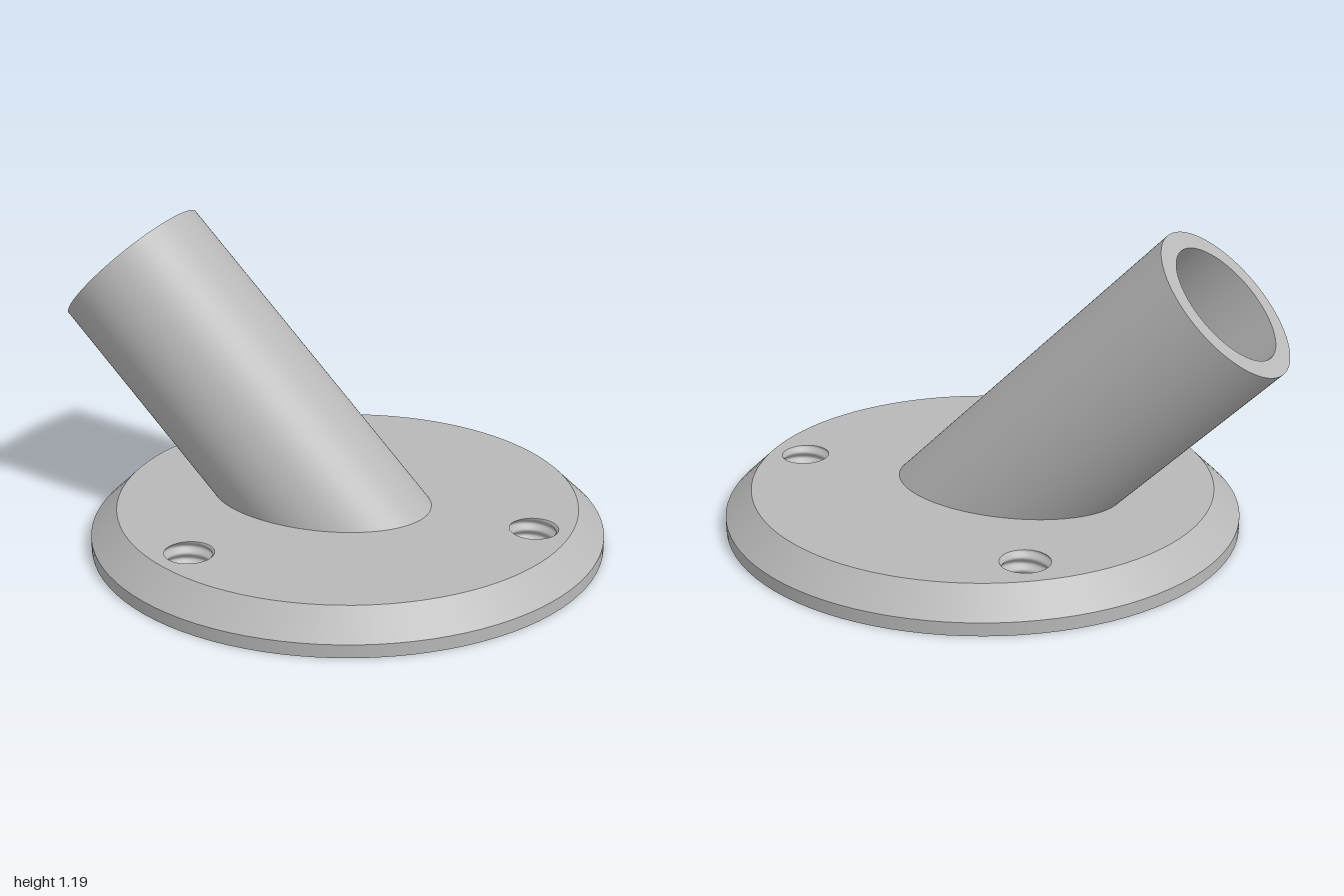
import * as THREE from 'three';

const CX = 0.02;               // plate centre in x
const TOP = 0.147;             // plate thickness
const PITCH = TOP / 3;         // thread pitch of the screw holes
const HOLE_SEGMENTS = 40;

// Helical thread: radius of a screw hole at an angle and height
function threadRadius(phi, y) {
  const t = y / PITCH - phi / (Math.PI * 2);
  const wave = Math.abs((t - Math.floor(t)) * 2 - 1);
  return 0.083 + 0.016 * THREE.MathUtils.clamp(wave * 1.4 - 0.2, 0, 1);
}

export function createModel() {
  const metal = new THREE.MeshStandardMaterial({ color: 0xb8b8b8 });
  metal.name = 'grey metal';
  const model = new THREE.Group();
  model.name = 'angledPoleFlange';

  const add = (parent, name, geometry) => {
    const mesh = new THREE.Mesh(geometry, metal);
    mesh.name = name;
    parent.add(mesh);
    return mesh;
  };
  const band = (points, segments = 96) =>
    new THREE.LatheGeometry(points.map(([r, y]) => new THREE.Vector2(r, y)), segments);

  // Base plate: rim, bevel, and two flat faces pierced by the screw holes
  const plate = new THREE.Group();
  plate.name = 'basePlate';
  plate.position.x = CX;
  model.add(plate);
  add(plate, 'plateRim', band([[0.98, 0], [0.98, 0.05]]));
  add(plate, 'plateBevel', band([[0.98, 0.05], [0.88, TOP]]));

  const holes = [0, 1, 2].map(i => {
    const a = Math.PI + i * Math.PI * 2 / 3;
    return { x: 0.736 * Math.sin(a), z: 0.736 * Math.cos(a) };
  });

  function plateFace(radius, y, side) {
    const circle = (x, z, radiusAt, n) => Array.from({ length: n }, (_, i) => {
      const phi = i / n * Math.PI * 2;
      const r = radiusAt(phi);
      return new THREE.Vector2(x + r * Math.sin(phi), -side * (z + r * Math.cos(phi)));
    });
    const shape = new THREE.Shape(circle(0, 0, () => radius, 96));
    for (const h of holes) {
      shape.holes.push(new THREE.Path(circle(h.x, h.z, phi => threadRadius(phi, y), HOLE_SEGMENTS)));
    }
    return new THREE.ShapeGeometry(shape).rotateX(-side * Math.PI / 2).translate(0, y, 0);
  }
  add(plate, 'plateTop', plateFace(0.88, TOP, 1));
  add(plate, 'plateUnderside', plateFace(0.98, 0, -1));

  // Threaded walls of the three screw holes
  const rows = 30;
  const wall = band(Array.from({ length: rows + 1 }, (_, i) => [0.083, TOP * (1 - i / rows)]), HOLE_SEGMENTS);
  const wp = wall.attributes.position;
  for (let i = 0; i < wp.count; i++) {
    const phi = Math.floor(i / (rows + 1)) / HOLE_SEGMENTS * Math.PI * 2;
    const r = threadRadius(phi, wp.getY(i));
    wp.setX(i, r * Math.sin(phi));
    wp.setZ(i, r * Math.cos(phi));
  }
  wall.computeVertexNormals();
  for (const h of holes) add(plate, 'threadedHole', wall).position.set(h.x, 0, h.z);

  // Slanted socket tube, its lower end cut flush with the plate top
  const foot = new THREE.Vector3(-0.075, TOP, -0.055);
  const end = new THREE.Vector3(-0.74, 0.97, -0.53);
  const axis = end.clone().sub(foot);
  const length = axis.length();
  axis.normalize();
  const turn = new THREE.Quaternion().setFromUnitVectors(new THREE.Vector3(0, 1, 0), axis);
  const R = 0.315, r = 0.243;

  function tubeBand(points) {
    const geometry = band(points);
    const p = geometry.attributes.position;
    const lower = Array.from({ length: p.count }, (_, i) => p.getY(i) < 0.001);
    geometry.applyQuaternion(turn).translate(foot.x, foot.y, foot.z);
    const v = new THREE.Vector3();
    lower.forEach((isLower, i) => {
      if (!isLower) return;
      v.fromBufferAttribute(p, i);
      v.addScaledVector(axis, (TOP - v.y) / axis.y);   // slide along the axis to the plate
      p.setXYZ(i, v.x, v.y, v.z);
    });
    return geometry;
  }
  const tube = new THREE.Group();
  tube.name = 'socketTube';
  model.add(tube);
  add(tube, 'tubeOutside', tubeBand([[R, 0], [R, length]]));
  add(tube, 'tubeEnd', tubeBand([[R, length], [r, length]]));
  add(tube, 'tubeBore', tubeBand([[r, length], [r, 0]]));

  return model;
}
